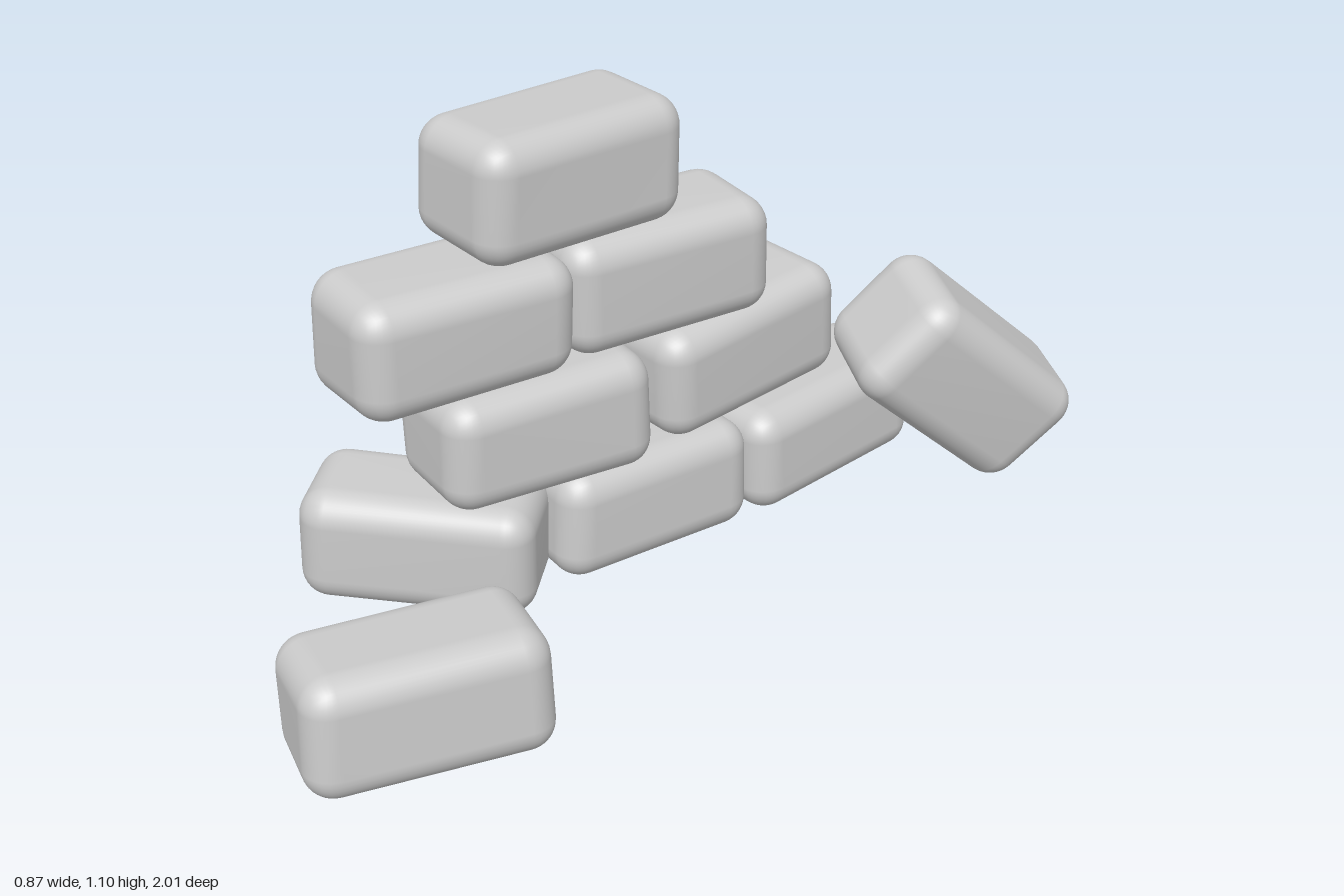
import * as THREE from 'three';
import { RoundedBoxGeometry } from 'three/addons/geometries/RoundedBoxGeometry.js';
import { mergeVertices } from 'three/addons/utils/BufferGeometryUtils.js';

// Small seeded generator, returns -1..1
function seeded(seed) {
  let s = seed * 7919 + 17;
  return () => {
    s = (s * 16807) % 2147483647;
    return (s / 2147483647) * 2 - 1;
  };
}

// A worn stone block: rounded box whose eight corners are nudged a little
function blockGeometry([w, h, l], seed) {
  const rand = seeded(seed);
  for (let i = 0; i < 5; i++) rand();
  const corners = Array.from({ length: 8 }, () =>
    new THREE.Vector3(rand(), rand(), rand()).multiplyScalar(0.008));

  let geo = new RoundedBoxGeometry(w, h, l, 5, 0.065);
  geo.deleteAttribute('normal');
  geo.deleteAttribute('uv');
  geo.clearGroups();
  geo = mergeVertices(geo, 1e-4);

  const pos = geo.attributes.position;
  const p = new THREE.Vector3();
  for (let i = 0; i < pos.count; i++) {
    p.fromBufferAttribute(pos, i);
    const u = p.x / w + 0.5, v = p.y / h + 0.5, t = p.z / l + 0.5;
    const q = p.clone();
    corners.forEach((c, k) => {
      const weight = (k & 1 ? u : 1 - u) * (k & 2 ? v : 1 - v) * (k & 4 ? t : 1 - t);
      q.addScaledVector(c, weight);
    });
    pos.setXYZ(i, q.x, q.y, q.z);
  }
  geo.computeVertexNormals();
  return geo;
}

// name, centre, size (width, height, length), rotation (pitch, yaw, roll)
const BLOCKS = [
  ['topBlock', [-0.06, 0.97, 0.15], [0.28, 0.265, 0.49], [-0.03, -0.02, 0]],
  ['thirdRowFrontBlock', [-0.07, 0.703, 0.41], [0.27, 0.255, 0.475], [0, -0.12, 0]],
  ['thirdRowBackBlock', [-0.045, 0.70, -0.085], [0.26, 0.265, 0.49], [0, -0.13, 0]],
  ['secondRowFrontBlock', [-0.06, 0.433, 0.22], [0.27, 0.255, 0.48], [0, -0.14, 0]],
  ['secondRowBackBlock', [-0.06, 0.443, -0.305], [0.275, 0.265, 0.495], [0.06, 0.01, 0]],
  ['baseBackBlock', [-0.04, 0.16, -0.545], [0.265, 0.255, 0.5], [0.02, 0.05, 0]],
  ['baseMiddleBlock', [-0.06, 0.172, -0.045], [0.285, 0.25, 0.475], [0, -0.1, 0]],
  ['baseFrontBlock', [-0.185, 0.162, 0.395], [0.26, 0.255, 0.5], [0, -0.9, 0]],
  ['looseFrontBlock', [0.24, 0.147, 0.725], [0.265, 0.265, 0.5], [-0.02, -0.28, 0.07]],
  ['leaningBackBlock', [0.235, 0.333, -0.74], [0.275, 0.275, 0.51], [-0.73, -0.3, -0.22]],
];

export function createModel() {
  const model = new THREE.Group();
  model.name = 'ruinedWall';
  const stone = new THREE.MeshStandardMaterial({ color: 0xcccccc });
  BLOCKS.forEach(([name, centre, size, [pitch, yaw, roll]], i) => {
    const block = new THREE.Mesh(blockGeometry(size, i + 1), stone);
    block.name = name;
    block.position.set(...centre);
    block.rotation.set(pitch, yaw, roll, 'YXZ');
    model.add(block);
  });
  return model;
}
